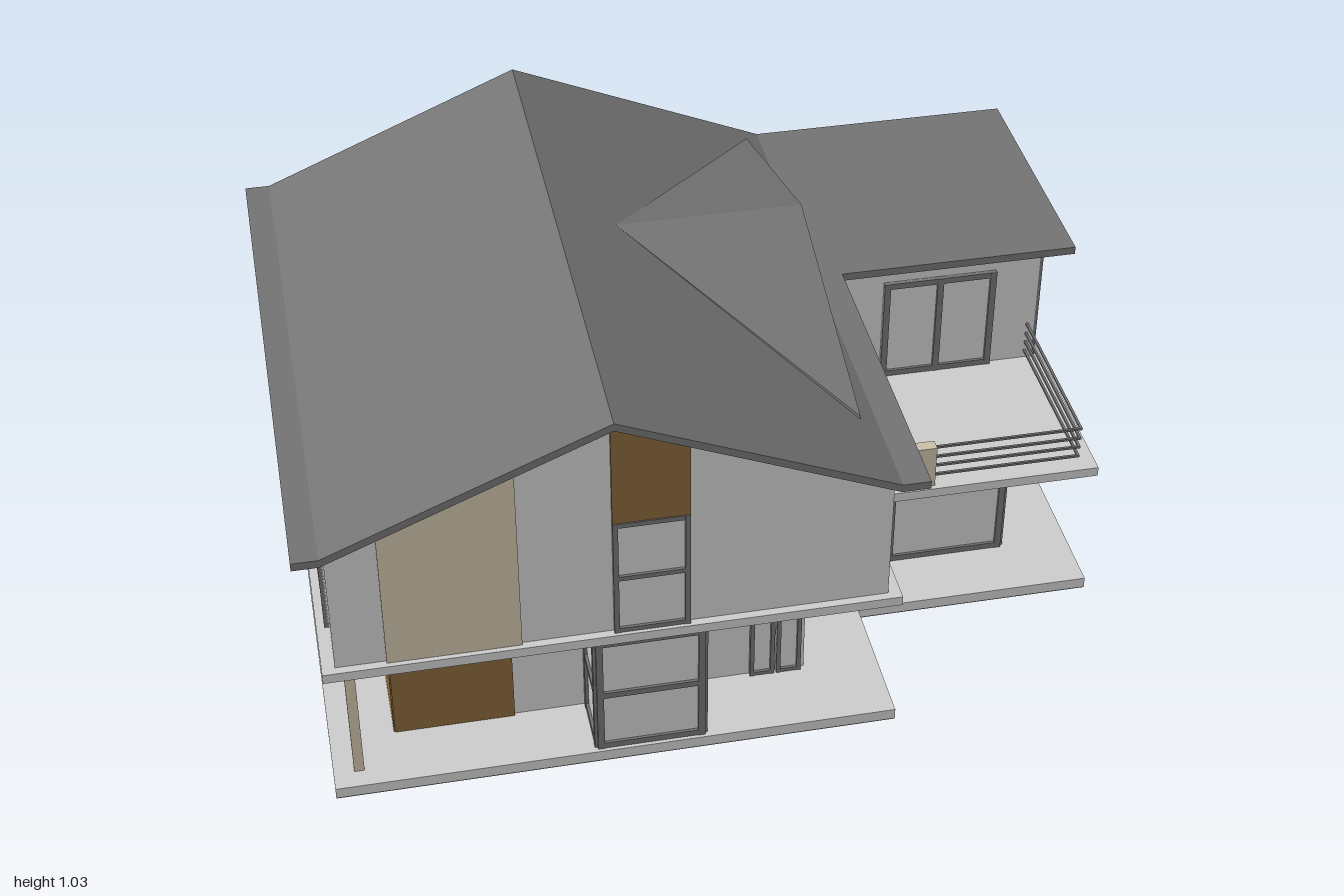
import * as THREE from 'three';
import { ConvexGeometry } from 'three/addons/geometries/ConvexGeometry.js';

const mat = (name, color) => Object.assign(new THREE.MeshStandardMaterial({ color }), { name });

export function createModel() {
  const pale = mat('palePlaster', 0xcfcfcf);
  const grey = mat('slateGrey', 0x757575);
  const wood = mat('brownWood', 0x87673a);
  const beige = mat('beigeStone', 0xcdc2ab);
  const house = new THREE.Group();
  house.name = 'house';

  const add = (name, geo, m, parent = house) => {
    const mesh = new THREE.Mesh(geo, m);
    mesh.name = name;
    parent.add(mesh);
    return mesh;
  };
  const box = (name, m, x0, x1, y0, y1, z0, z1, parent) =>
    add(name, new THREE.BoxGeometry(x1 - x0, y1 - y0, z1 - z0)
      .translate((x0 + x1) / 2, (y0 + y1) / 2, (z0 + z1) / 2), m, parent);
  const extrude = (pts, depth) => new THREE.ExtrudeGeometry(
    new THREE.Shape(pts.map(p => new THREE.Vector2(...p))), { depth, bevelEnabled: false });
  // outline in x,y pushed along z
  const prism = (name, m, pts, z0, z1) => add(name, extrude(pts, z1 - z0).translate(0, 0, z0), m);

  // L-shaped slab, outline in x,z
  const slab = (name, m, y0, y1) => add(name, extrude(
    [[-0.96, -0.7], [0.96, -0.7], [0.96, 0.34], [0.37, 0.34], [0.37, 0.7], [-0.96, 0.7]], y1 - y0)
    .rotateX(Math.PI / 2).translate(0, y1, 0), m);
  slab('groundUnderside', grey, 0, 0.003);
  slab('groundSlab', pale, 0.003, 0.03);
  slab('upperFloorSlab', pale, 0.365, 0.39);

  // Roof: height of the upper surface at x
  const roofY = x => 0.76 + 0.27 * Math.max(0, 1 - Math.abs(x + 0.3) / 0.64);
  const roofLayer = (name, x0, x1, drop, t, z) => {
    const xs = [x0, -0.94, -0.3, 0.34, x1];
    const top = xs.map(x => [x, roofY(x) - drop]);
    const low = xs.map(x => [x, roofY(x) - drop - t]).reverse();
    prism(name, grey, [...low, ...top], -z, z);
  };
  roofLayer('mainRoof', -1, 0.405, 0, 0.02, 0.74);
  roofLayer('mainRoofSoffit', -0.96, 0.37, 0.02, 0.015, 0.7);
  box('wingRoof', grey, 0.405, 1, 0.74, 0.76, -0.74, -0.07);
  box('wingRoofSoffit', grey, 0.37, 0.96, 0.725, 0.74, -0.7, -0.11);

  // Upper walls reach up to the roof underside
  const gable = (name, m, x0, x1, y0, z0, z1) => {
    const xs = x0 < -0.3 && x1 > -0.3 ? [x1, -0.3, x0] : [x1, x0];
    prism(name, m, [[x0, y0], [x1, y0], ...xs.map(x => [x, roofY(x) - 0.033])], z0, z1);
  };
  gable('upperWalls', pale, -0.93, 0.34, 0.39, -0.52, 0.68);
  gable('upperBackWall', pale, -0.52, 0.34, 0.39, -0.67, -0.52);
  gable('upperBackCorner', pale, -0.93, -0.83, 0.39, -0.67, -0.52);
  gable('recessBack', grey, -0.83, -0.52, 0.39, -0.526, -0.519);
  gable('recessSide', grey, -0.526, -0.519, 0.39, -0.669, -0.52);
  gable('frontStonePanel', beige, -0.815, -0.51, 0.39, 0.68, 0.688);
  gable('gableWoodPanel', wood, -0.3, -0.125, 0.71, 0.68, 0.688);
  box('wingWalls', pale, 0.33, 0.93, 0.39, 0.727, -0.67, -0.13);

  // Ground floor walls
  box('garageWalls', pale, -0.8, -0.09, 0.03, 0.365, -0.53, 0.535);
  box('entranceWalls', pale, -0.09, 0.19, 0.03, 0.365, -0.53, 0.51);
  box('livingRoomWalls', pale, 0.19, 0.78, 0.03, 0.365, -0.53, 0.17);
  box('glassBay', pale, -0.34, -0.095, 0.03, 0.365, 0.53, 0.68);

  // Framed window on one side; a0..a1 runs along the wall, "at" is the wall plane
  const turns = { front: 0, right: Math.PI / 2, back: Math.PI, left: -Math.PI / 2 };
  const win = (name, side, a0, a1, y0, y1, at, cols = 1, rows = 1, t = 0.016) => {
    const g = new THREE.Group(), w = a1 - a0, h = y1 - y0, mid = (a0 + a1) / 2;
    g.name = name;
    box('glass', pale, -w / 2, w / 2, 0, h, 0, 0.004, g);
    for (let i = 0; i <= cols; i++) {
      const x = -w / 2 + t / 2 + (w - t) * i / cols;
      box('upright', grey, x - t / 2, x + t / 2, 0, h, 0, 0.012, g);
    }
    for (let j = 0; j <= rows; j++) {
      const y = t / 2 + (h - t) * j / rows;
      box('crossbar', grey, -w / 2, w / 2, y - t / 2, y + t / 2, 0, 0.011, g);
    }
    g.rotation.y = turns[side];
    if (side === 'front' || side === 'back') g.position.set(mid, y0, at);
    else g.position.set(at, y0, mid);
    house.add(g);
  };
  // Ground floor glazing
  win('livingFrontWindows', 'front', 0.2, 0.785, 0.03, 0.365, 0.17, 2);
  win('livingSideWindows', 'right', -0.53, 0.175, 0.03, 0.365, 0.78, 3);
  win('backWindows', 'back', -0.81, 0.785, 0.03, 0.365, -0.53, 6);
  win('bayFront', 'front', -0.345, -0.09, 0.03, 0.365, 0.68, 1, 2);
  win('baySide', 'right', 0.537, 0.685, 0.03, 0.365, -0.095, 1, 2);
  win('bayOtherSide', 'left', 0.537, 0.685, 0.03, 0.365, -0.34, 1, 2);
  win('entranceSidelight', 'front', 0.055, 0.115, 0.03, 0.35, 0.51, 1, 1, 0.01);
  win('entranceSidelight', 'front', 0.12, 0.18, 0.03, 0.35, 0.51, 1, 1, 0.01);
  box('entranceHeader', wood, 0.055, 0.18, 0.35, 0.365, 0.51, 0.518);
  win('leftNarrowWindow', 'left', -0.17, -0.08, 0.1, 0.3, -0.8, 1, 3, 0.012);
  win('leftDoors', 'left', -0.03, 0.15, 0.03, 0.33, -0.8, 3);
  // Upper floor glazing
  win('gableWindow', 'front', -0.3, -0.125, 0.39, 0.71, 0.68, 1, 2, 0.012);
  win('wingDoor', 'front', 0.53, 0.82, 0.39, 0.675, -0.13, 2);
  win('wingSideWindows', 'right', -0.67, -0.13, 0.39, 0.725, 0.93, 2);
  win('wingBackWindows', 'back', 0.05, 0.93, 0.39, 0.725, -0.67, 3);
  win('balconyDoor', 'right', -0.1, 0.247, 0.39, 0.65, 0.34, 2);
  win('smallSideWindow', 'right', 0.535, 0.59, 0.57, 0.67, 0.34, 1, 1, 0.006);
  win('smallBackWindow', 'back', -0.32, -0.15, 0.5, 0.655, -0.67, 1, 1, 0.008);
  for (const [a, b] of [[-0.56, -0.285], [-0.135, 0.15], [0.32, 0.6]])
    win('leftUpperWindow', 'left', a, b, 0.44, 0.67, -0.93, 1, 1, 0.012);

  // Wood panels and the side door
  for (const [a, b] of [[-0.285, -0.135], [0.15, 0.32]])
    box('leftUpperWoodPanel', wood, -0.938, -0.93, 0.44, 0.69, a, b);
  box('garageDoor', wood, -0.805, -0.52, 0.03, 0.325, 0.535, 0.543);
  for (const [a, b] of [[-0.53, -0.24], [0.33, 0.54]])
    box('leftWoodPanel', wood, -0.808, -0.8, 0.03, 0.325, a, b);
  box('sideDoor', grey, 0.19, 0.198, 0.03, 0.31, 0.267, 0.418);
  for (const [a, b] of [[0.267, 0.279], [0.406, 0.418]])
    box('sideDoorFrame', grey, 0.19, 0.206, 0.03, 0.31, a, b);

  // Slim posts
  for (const [x, z] of [[-0.9, 0.64], [0.893, -0.638]])
    box('post', beige, x - 0.012, x + 0.012, 0.03, 0.365, z - 0.012, z + 0.012);

  // Balcony fin wall and rails
  prism('balconyFin', beige, [[0.34, 0.39], [0.55, 0.39], [0.55, 0.505],
    [0.445, 0.505], [0.38, 0.728], [0.34, 0.728]], 0.298, 0.327);
  for (const y of [0.411, 0.439, 0.466, 0.495]) {
    box('frontRail', grey, 0.55, 0.918, y - 0.003, y + 0.003, 0.307, 0.313);
    box('sideRail', grey, 0.912, 0.918, y - 0.003, y + 0.003, -0.13, 0.313);
  }

  // Dormer: two triangular roof plates over a recessed gable
  const zMid = -0.085, slope = 0.303;
  for (const s of [-1, 1]) {
    const tri = [[-0.15, 0.967, zMid], [0.3, 0.967, zMid], [0.3, 0.785, zMid + s * 0.6]];
    add('dormerRoof', new ConvexGeometry(tri.flatMap(([x, y, z]) =>
      [new THREE.Vector3(x, y, z), new THREE.Vector3(x, y - 0.014, z)])), grey);
  }
  const dormerFace = (name, m, half, y0, x0, x1) => {
    const edge = 0.957 - slope * half;
    add(name, extrude([[-zMid - half, y0], [-zMid + half, y0], [-zMid + half, edge],
      [-zMid, 0.957], [-zMid - half, edge]], x1 - x0).rotateY(Math.PI / 2).translate(x0, 0, 0), m);
  };
  dormerFace('dormerWall', grey, 0.27, 0.765, 0.1, 0.275);
  dormerFace('dormerWindow', pale, 0.132, 0.786, 0.274, 0.28);
  box('dormerMullion', grey, 0.275, 0.286, 0.786, 0.955, zMid - 0.004, zMid + 0.004);

  return house;
}
